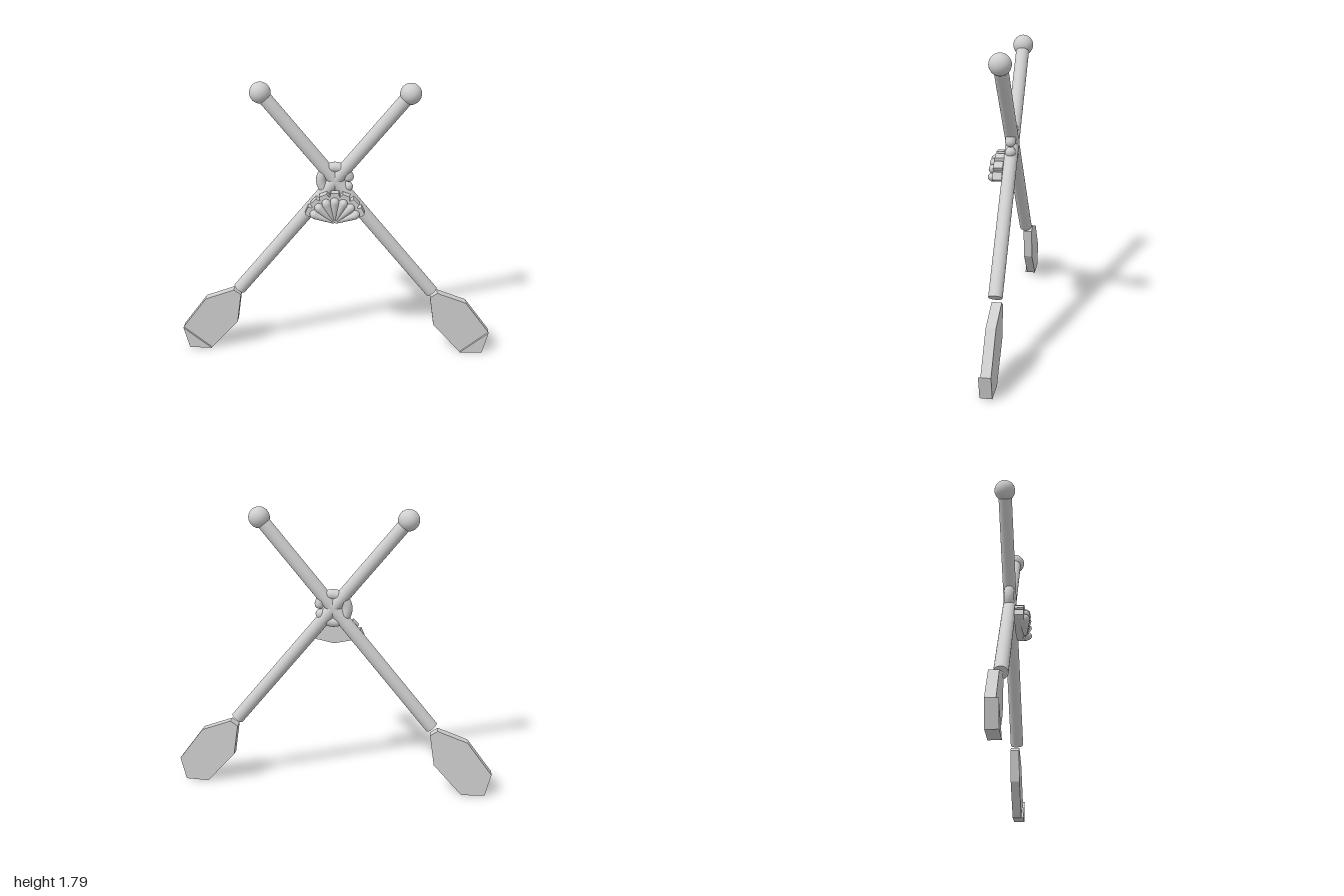
import * as THREE from 'three';

const grey = new THREE.MeshStandardMaterial({ color: 0xcfcfcf });
grey.name = 'pale grey';

function add(parent, name, geometry, x = 0, y = 0, z = 0) {
  const mesh = new THREE.Mesh(geometry, grey);
  mesh.name = name;
  mesh.position.set(x, y, z);
  parent.add(mesh);
  return mesh;
}

// Flat plate in the xy plane, from z = back to z = front
function plate(points, back, front) {
  const shape = new THREE.Shape(points.map(([x, y]) => new THREE.Vector2(x, y)));
  const geometry = new THREE.ExtrudeGeometry(shape, { depth: front - back, bevelEnabled: false });
  return geometry.translate(0, 0, back);
}

const AXIS_Z = -0.034;

// One oar: grip ball on the opposite side from its blade
function createOar(side) {
  const oar = new THREE.Group();
  oar.name = side > 0 ? 'leftOar' : 'rightOar';
  const top = new THREE.Vector3(-0.44 * side, 1.726, AXIS_Z);
  const bottom = new THREE.Vector3(0.617 * side, 0.44, AXIS_Z);
  const axis = top.clone().sub(bottom);

  const shaft = add(oar, 'shaft', new THREE.CylinderGeometry(0.041, 0.041, axis.length(), 32));
  shaft.position.copy(top).add(bottom).multiplyScalar(0.5);
  shaft.quaternion.setFromUnitVectors(new THREE.Vector3(0, 1, 0), axis.normalize());
  add(oar, 'gripBall', new THREE.SphereGeometry(0.0635, 32, 20), top.x, top.y, top.z);

  // Faceted blade with a slightly thicker tip
  const mirror = (points) => points.map(([x, y]) => [x * side, y]);
  const blade = [[0.61, 0.4], [0.64, 0.2], [0.82, 0.003], [1, 0.153], [0.842, 0.363], [0.655, 0.432]];
  const tip = [[0.82, 0.003], [0.965, 0.008], [1, 0.153]];
  add(oar, 'blade', plate(mirror(blade), -0.077, -0.02));
  add(oar, 'bladeTip', plate(mirror(tip), -0.077, -0.007));
  return oar;
}

// Binding ring around the crossing, with rounded ends meeting at the side
function createBinding() {
  const binding = new THREE.Group();
  binding.name = 'binding';
  binding.position.set(0, 1.188, AXIS_Z);
  const radius = 0.085, tube = 0.032, start = 0.3, end = Math.PI * 2 - 0.47;
  const ring = add(binding, 'ring', new THREE.TorusGeometry(radius, tube, 16, 48, end - start));
  ring.rotation.z = start;
  for (const a of [start, end]) {
    add(binding, 'ringEnd', new THREE.SphereGeometry(tube, 16, 12), radius * Math.cos(a), radius * Math.sin(a));
  }
  return binding;
}

// Fan shell: stepped backing plate with seven raised ribs
function createShell() {
  const shell = new THREE.Group();
  shell.name = 'shell';
  shell.position.set(0, 0.948, 0);
  const step = THREE.MathUtils.degToRad(22);
  const outline = [[0, 0.005]];
  const polar = (r, a) => outline.push([r * Math.sin(a), r * Math.cos(a)]);
  for (let i = -3; i <= 3; i++) {
    const a = i * step;
    polar(0.168, a - step * 0.46);
    polar(0.19, a - step * 0.33);
    polar(0.19, a + step * 0.33);
    polar(0.168, a + step * 0.46);
  }
  add(shell, 'backing', plate(outline, 0.003, 0.06));

  const profile = [[0, 0], [0.008, 0.006], [0.028, 0.13], [0.024, 0.15], [0.012, 0.161], [0, 0.163]]
    .map(([r, y]) => new THREE.Vector2(r, y));
  for (let i = -3; i <= 3; i++) {
    const rib = add(shell, 'rib', new THREE.LatheGeometry(profile, 16), 0, 0, 0.062);
    rib.scale.z = 1.26;
    rib.rotation.z = -i * step;
  }
  return shell;
}

export function createModel() {
  const model = new THREE.Group();
  model.name = 'crossedOars';
  model.add(createOar(1), createOar(-1), createBinding(), createShell());
  return model;
}
